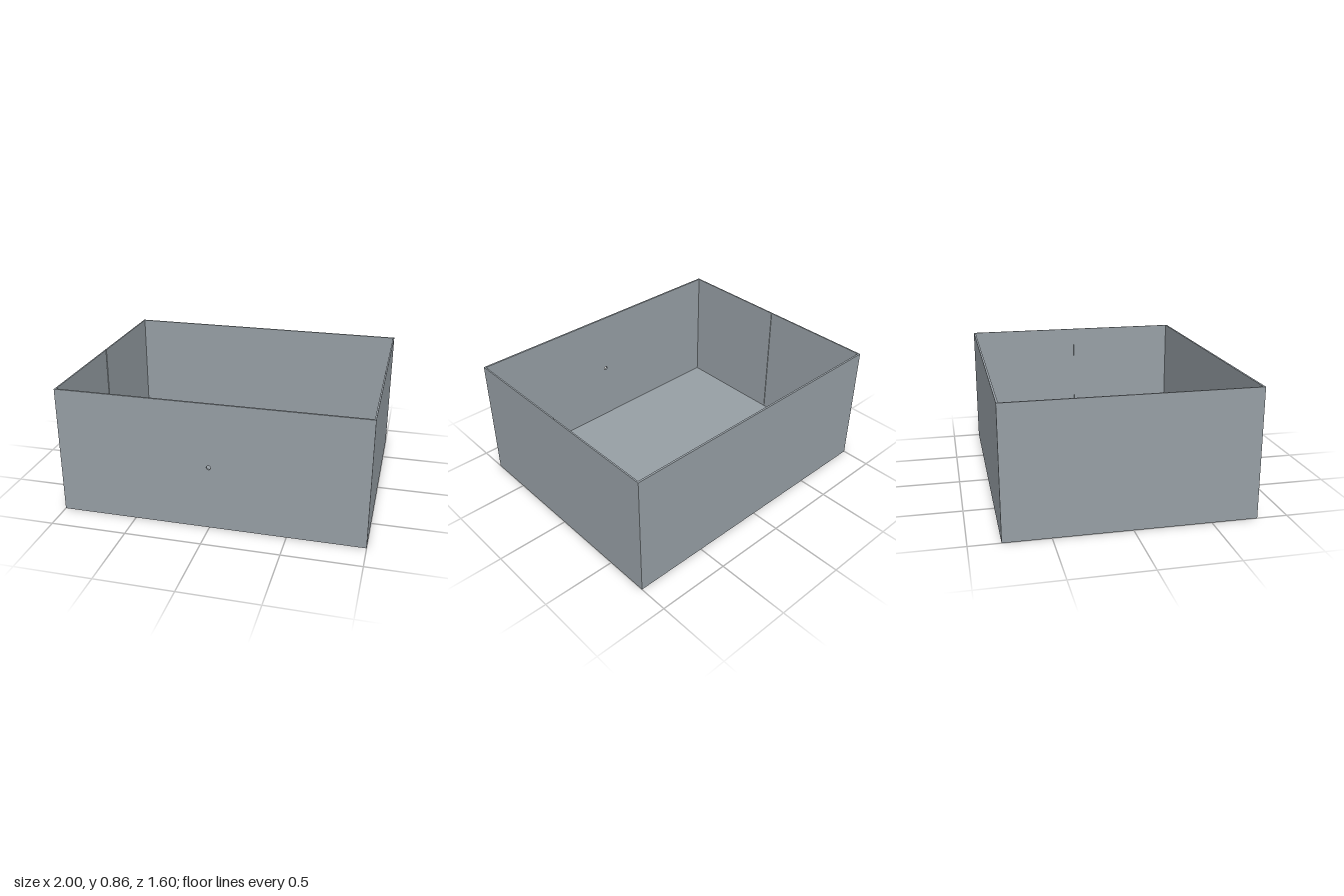
import * as THREE from 'three';

const W = 2, H = 0.855, D = 1.6; // outer size
const T = 0.01;                  // floor and side thickness
const F = 0.013;                 // front and back thickness
const GROOVE = 0.005;            // half width and depth of the divider grooves

export function createModel() {
  const group = new THREE.Group();
  const material = new THREE.MeshStandardMaterial({ color: 0x979fa5 });
  const add = (name, geometry, x, y, z) => {
    const mesh = new THREE.Mesh(geometry, material);
    mesh.name = name;
    mesh.position.set(x, y, z);
    group.add(mesh);
    return mesh;
  };

  // Floor, reaching under the side grooves, and back panel
  add('floor', new THREE.BoxGeometry(W - 2 * T + 2 * GROOVE, T, D - 2 * F), 0, T / 2, 0);
  add('backPanel', new THREE.BoxGeometry(W, H, F), 0, H / 2, -D / 2 + F / 2);

  // Front panel with a small round hole for a knob
  const front = new THREE.Shape([
    new THREE.Vector2(-W / 2, 0), new THREE.Vector2(W / 2, 0),
    new THREE.Vector2(W / 2, H), new THREE.Vector2(-W / 2, H),
  ]);
  front.holes.push(new THREE.Path().absarc(0, H / 2, 0.014, 0, Math.PI * 2, true));
  add('frontPanel', new THREE.ExtrudeGeometry(front, { depth: F, bevelEnabled: false, curveSegments: 16 }),
    0, 0, D / 2 - F);

  // Side panels: plan outline with a shallow divider groove inside, extruded upwards
  const L = D / 2 - F, inner = W / 2 - T;
  const side = new THREE.Shape([
    [W / 2, -L], [W / 2, L], [inner, L],
    [inner, GROOVE], [inner + GROOVE, GROOVE],
    [inner + GROOVE, -GROOVE], [inner, -GROOVE], [inner, -L],
  ].map(([x, y]) => new THREE.Vector2(x, y)));
  const sideGeometry = new THREE.ExtrudeGeometry(side, { depth: H, bevelEnabled: false });
  sideGeometry.rotateX(-Math.PI / 2);
  add('leftPanel', sideGeometry, 0, 0, 0);
  add('rightPanel', sideGeometry, 0, 0, 0).rotation.y = Math.PI;

  return group;
}
